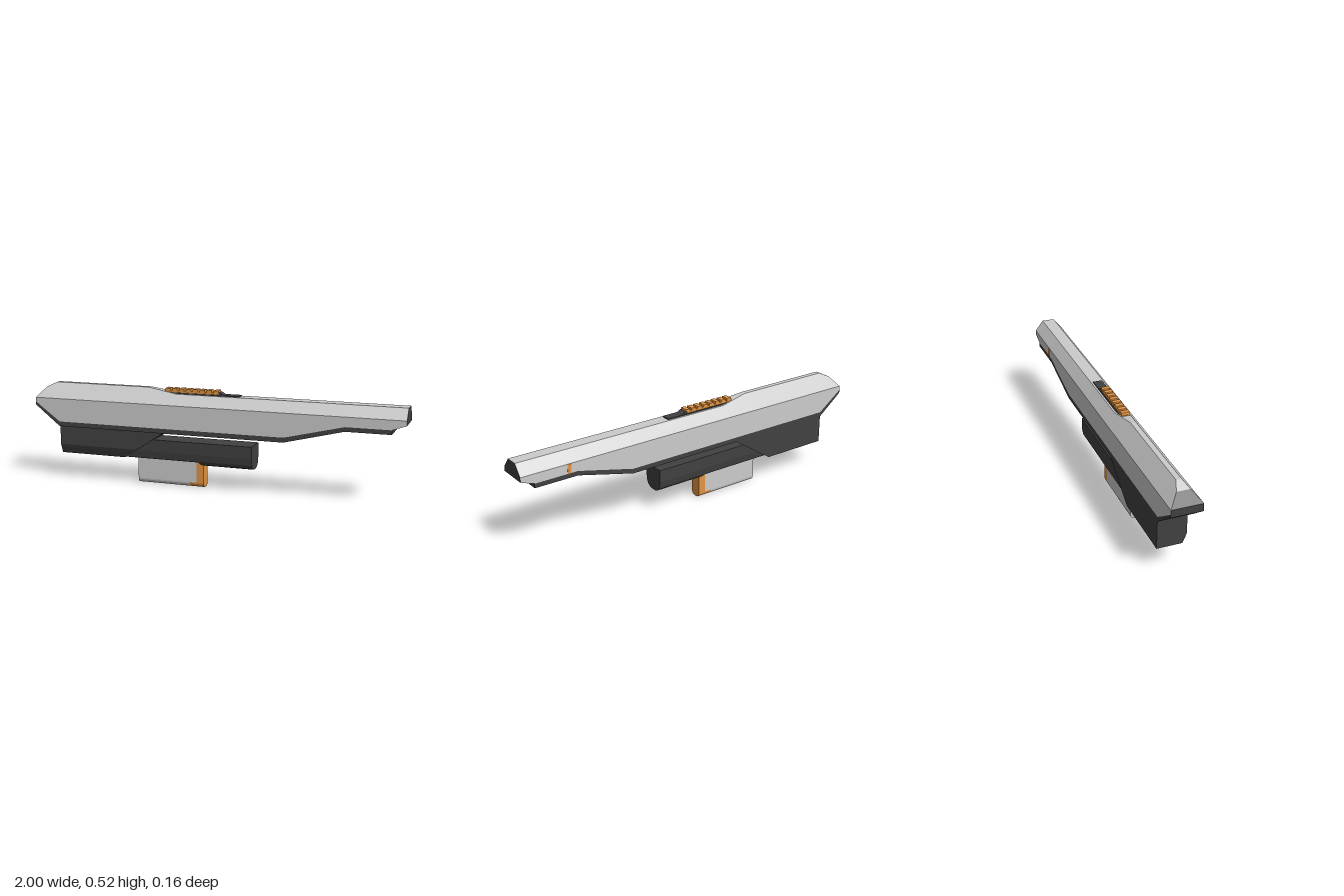
import * as THREE from 'three';

const mat = (color) => new THREE.MeshStandardMaterial({ color, flatShading: true });

export function createModel() {
  const model = new THREE.Group();
  const grey = mat(0xcccccc), dark = mat(0x414141), orange = mat(0xe39443);

  const add = (name, geometry, material, parent = model) => {
    const mesh = new THREE.Mesh(geometry, material);
    mesh.name = name;
    parent.add(mesh);
    return mesh;
  };

  // Extrudes a (z, y) outline along x; bend(x, y, atFarEnd) may slant the ends.
  const alongX = (outline, x0, x1, bend) => {
    const shape = new THREE.Shape(outline.map(([z, y]) => new THREE.Vector2(-z, y)));
    const g = new THREE.ExtrudeGeometry(shape, { depth: x1 - x0, bevelEnabled: false });
    g.rotateY(Math.PI / 2).translate(x0, 0, 0);
    if (bend) {
      const p = g.attributes.position;
      for (let i = 0; i < p.count; i++) {
        p.setX(i, bend(p.getX(i), p.getY(i), p.getX(i) > (x0 + x1) / 2));
      }
      g.computeVertexNormals();
    }
    return g;
  };
  // Mirrors a half outline (bottom to top on +z) to both sides.
  const mirrored = (half) => [...half, ...half.map(([z, y]) => [-z, y]).reverse()];

  // Upper housing: stations of x, underside, lower edge of the side plate, top
  const W = 0.078, SHOULDER = 0.435;
  const stations = [
    [-1, 0.395, 0.412, 0.435], [-0.952, 0.357, 0.377, 0.49], [-0.9, 0.316, 0.339, 0.515],
    [-0.86, 0.285, 0.31, 0.515], [-0.36, 0.285, 0.31, 0.515], [-0.2, 0.285, 0.31, 0.49],
    [0.39, 0.285, 0.31, 0.49], [0.7, 0.362, 0.385, 0.49], [0.93, 0.362, 0.385, 0.49],
    [0.93, 0.385, 0.385, 0.49], [1, 0.41, 0.41, 0.49],
  ];
  const rings = stations.map(([x, low, edge, top]) => {
    const t = W - (top - SHOULDER) * 0.805;
    return mirrored([[W, low], [W, edge], [W, SHOULDER], [t, top]]).map(([z, y]) => [x, y, z]);
  });
  const plates = [], core = [];
  const quad = (list, a, b, c, d) => list.push(...a, ...b, ...c, ...a, ...c, ...d);
  for (let s = 0; s < rings.length - 1; s++) {
    const A = rings[s], B = rings[s + 1];
    for (let i = 0; i < 8; i++) {
      const j = (i + 1) % 8;
      const isDark = i === 0 || i > 5 || (i === 3 && s === 0);
      quad(isDark ? core : plates, A[i], B[i], B[j], A[j]);
    }
  }
  const first = rings[0], last = rings[rings.length - 1];
  for (let i = 1; i < 7; i++) {
    core.push(...first[0], ...first[i], ...first[i + 1]);
    core.push(...last[0], ...last[i + 1], ...last[i]);
  }
  const surface = (list) => {
    const g = new THREE.BufferGeometry();
    g.setAttribute('position', new THREE.Float32BufferAttribute(list, 3));
    g.computeVertexNormals();
    return g;
  };
  add('housingPlates', surface(plates), grey);
  add('housingUndersideAndEnds', surface(core), dark);

  // Rear block with a slanted front end, chamfered on its front side only
  add('rearBlock', alongX(
    [[0.07, 0.29], [0.07, 0.185], [0.064, 0.168], [0.05, 0.135], [-W, 0.135], [-W, 0.29]],
    -0.86, -0.26, (x, y, far) => (far ? -0.26 - (0.285 - y) * 1.53 : x)), dark);

  // Lower barrel: full section in front, cut flat above the magazine
  const side = [[0.055, 0.145], [0.061, 0.18], [0.062, 0.245]];
  add('barrelFront', alongX(
    mirrored([[0.016, 0.117], [0.036, 0.124], [0.047, 0.132], ...side]),
    -0.05, 0.22, (x, y, far) => (far ? x : -0.05 - Math.min(y - 0.117, 0.023) * 1.1)), dark);
  add('barrelRear', alongX(mirrored([[0.053, 0.14], ...side]), -0.49, -0.06), dark);

  // Magazine with rounded bottom and an orange corner
  const roundBottom = [];
  for (let i = 0; i <= 5; i++) {
    const a = (i / 5) * Math.PI / 2;
    roundBottom.push([0.009 + 0.022 * Math.sin(a), 0.027 - 0.025 * Math.cos(a) - 0.002]);
  }
  const full = mirrored([...roundBottom, [0.031, 0.145]]);
  const upper = mirrored([[0.031, 0.025], [0.031, 0.145]]);
  const magazine = new THREE.Group();
  magazine.name = 'magazine';
  model.add(magazine);
  add('magazineBody', alongX(full, -0.42, -0.13), grey, magazine);
  add('magazineUpperBody', alongX(upper, -0.13, -0.09), grey, magazine);
  add('magazineFoot', alongX(mirrored(roundBottom), -0.13, -0.09), orange, magazine);
  add('magazineFront', alongX(full, -0.09, -0.05), orange, magazine);

  // Top slider: dark bed, sloped stop and a ribbed orange grip
  const box = (name, x0, x1, y0, y1, z0, z1, material) => {
    const mesh = add(name, new THREE.BoxGeometry(x1 - x0, y1 - y0, z1 - z0), material);
    mesh.position.set((x0 + x1) / 2, (y0 + y1) / 2, (z0 + z1) / 2);
  };
  box('sliderBed', -0.28, 0.14, 0.48, 0.496, -0.024, 0.024, dark);
  add('sliderStop', alongX(mirrored([[0.021, 0.49], [0.021, 0.508]]), 0.02, 0.065,
    (x, y, far) => (far && y > 0.5 ? 0.035 : x)), dark);
  box('sliderGrip', -0.268, 0.03, 0.49, 0.505, -0.02, 0.02, orange);
  for (let i = 0; i < 8; i++) {
    const x = -0.266 + i * 0.038;
    add('sliderRib', alongX(mirrored([[0.021, 0.5], [0.021, 0.517]]), x, x + 0.031,
      (px, y, far) => (y > 0.51 ? px + (far ? -0.003 : 0.003) : px)), orange);
  }

  // Small marker on the back side
  box('sideMarker', 0.735, 0.755, 0.387, 0.433, -0.0795, -0.07, orange);

  return model;
}
